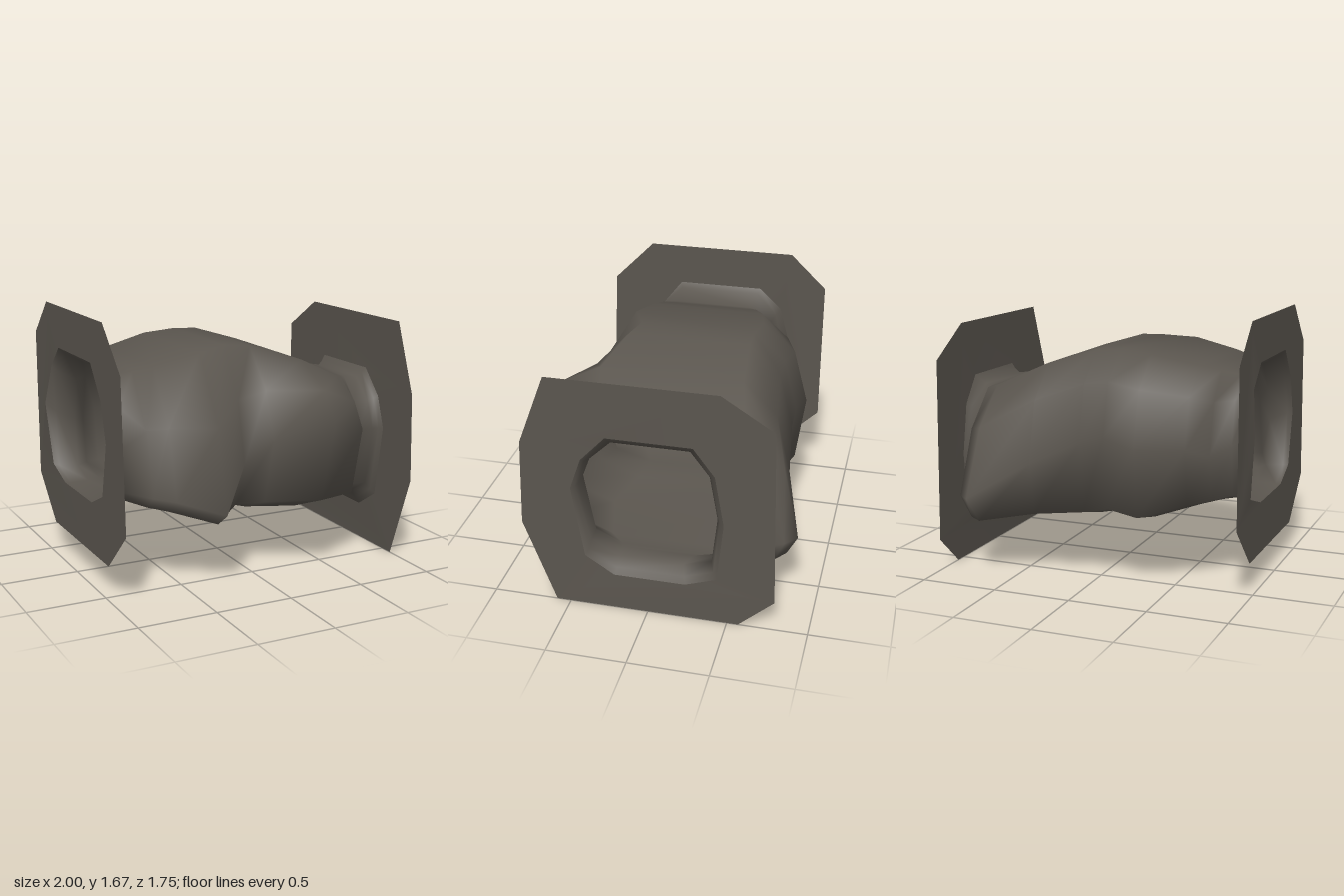
import * as THREE from 'three';

// Tunnel sections: x, top y, bottom y, front z, front y, back z, back y, back x shift
const SECTIONS = [
  [-0.97, 1.40, 0.52, 0.48, 0.95, -0.53, 1.00, -0.03],
  [-0.94, 1.37, 0.52, 0.46, 0.95, -0.50, 0.95, 0],
  [-0.83, 1.31, 0.53, 0.42, 0.90, -0.44, 0.90, 0],
  [-0.73, 1.34, 0.52, 0.62, 0.62, -0.56, 0.85, 0],
  [-0.61, 1.37, 0.49, 0.69, 0.60, -0.66, 0.90, 0],
  [-0.32, 1.43, 0.39, 0.78, 0.50, -0.76, 0.90, 0],
  [-0.11, 1.45, 0.41, 0.60, 0.75, -0.72, 0.95, 0],
  [0.05, 1.44, 0.375, 0.68, 0.90, -0.72, 0.90, 0],
  [0.37, 1.34, 0.36, 0.87, 1.02, -0.76, 0.75, 0],
  [0.70, 1.19, 0.34, 0.67, 0.90, -0.88, 0.52, 0.05],
  [0.79, 1.16, 0.34, 0.48, 0.85, -0.81, 0.52, 0.04],
  [0.83, 1.155, 0.345, 0.44, 0.83, -0.50, 0.70, -0.05],
  [0.93, 1.14, 0.34, 0.44, 0.83, -0.42, 0.70, 0],
  [0.97, 1.17, 0.28, 0.45, 0.83, -0.44, 0.70, 0],
  [0.995, 1.20, 0.24, 0.47, 0.83, -0.47, 0.70, 0],
];

// Ten-sided lumpy ring for one section
function ring([x, top, bottom, fz, fy, bz, by, shift]) {
  const mix = THREE.MathUtils.lerp;
  return [
    [x, top, fz * 0.52],
    [x, mix(fy, top, 0.55), fz * 0.85],
    [x, fy, fz],
    [x, mix(bottom, fy, 0.2), fz * 0.84],
    [x, bottom, fz * 0.45],
    [x, bottom, bz * 0.5],
    [x, mix(bottom, by, 0.15), bz * 0.92],
    [x + shift, by, bz],
    [x, mix(by, top, 0.65), bz * 0.88],
    [x, top, bz * 0.6],
  ].map((p) => new THREE.Vector3(...p));
}

// Smooth open tube through the rings
function tunnelGeometry(rings) {
  const n = rings[0].length;
  const index = [];
  for (let i = 0; i < rings.length - 1; i++) {
    for (let j = 0; j < n; j++) {
      const k = (j + 1) % n;
      const a = i * n + j, b = i * n + k, c = a + n, d = b + n;
      index.push(a, b, c, b, d, c);
    }
  }
  const geometry = new THREE.BufferGeometry().setFromPoints(rings.flat());
  geometry.setIndex(index);
  geometry.computeVertexNormals();
  return geometry;
}

// Flat end wall with an opening that meets the tube; outline is in (z, y)
function wallGeometry(outline, opening, x) {
  const shape = new THREE.Shape(outline.map(([z, y]) => new THREE.Vector2(z, y)));
  shape.holes.push(new THREE.Path(opening.map((p) => new THREE.Vector2(p.z, p.y))));
  const geometry = new THREE.ShapeGeometry(shape);
  const pos = geometry.attributes.position;
  for (let i = 0; i < pos.count; i++) {
    const z = pos.getX(i), y = pos.getY(i);
    const rim = opening.find((p) => Math.hypot(p.z - z, p.y - y) < 1e-4);
    pos.setXYZ(i, rim ? rim.x : x, y, z);
  }
  geometry.computeVertexNormals();
  return geometry;
}

export function createModel() {
  const group = new THREE.Group();
  group.name = 'rockTunnel';
  const rock = new THREE.MeshStandardMaterial({ color: 0x5b564f, side: THREE.DoubleSide });
  rock.name = 'dark rock';

  const add = (name, geometry) => {
    const mesh = new THREE.Mesh(geometry, rock);
    mesh.name = name;
    group.add(mesh);
  };

  const rings = SECTIONS.map(ring);
  add('tunnelWall', tunnelGeometry(rings));

  // End walls
  add('rightEndWall', wallGeometry([
    [0.46, 1.67], [-0.53, 1.67], [-0.77, 1.44], [-0.77, 0.47],
    [-0.48, 0.19], [0.48, 0.19], [0.77, 0.46], [0.73, 1.40],
  ], rings[0], -0.97));
  add('leftEndWall', wallGeometry([
    [0.60, 1.56], [-0.44, 1.56], [-0.76, 1.36], [-0.79, 0.20],
    [-0.57, 0], [0.59, 0], [0.79, 0.55], [0.77, 1.11],
  ], rings[rings.length - 1], 1));
  return group;
}
